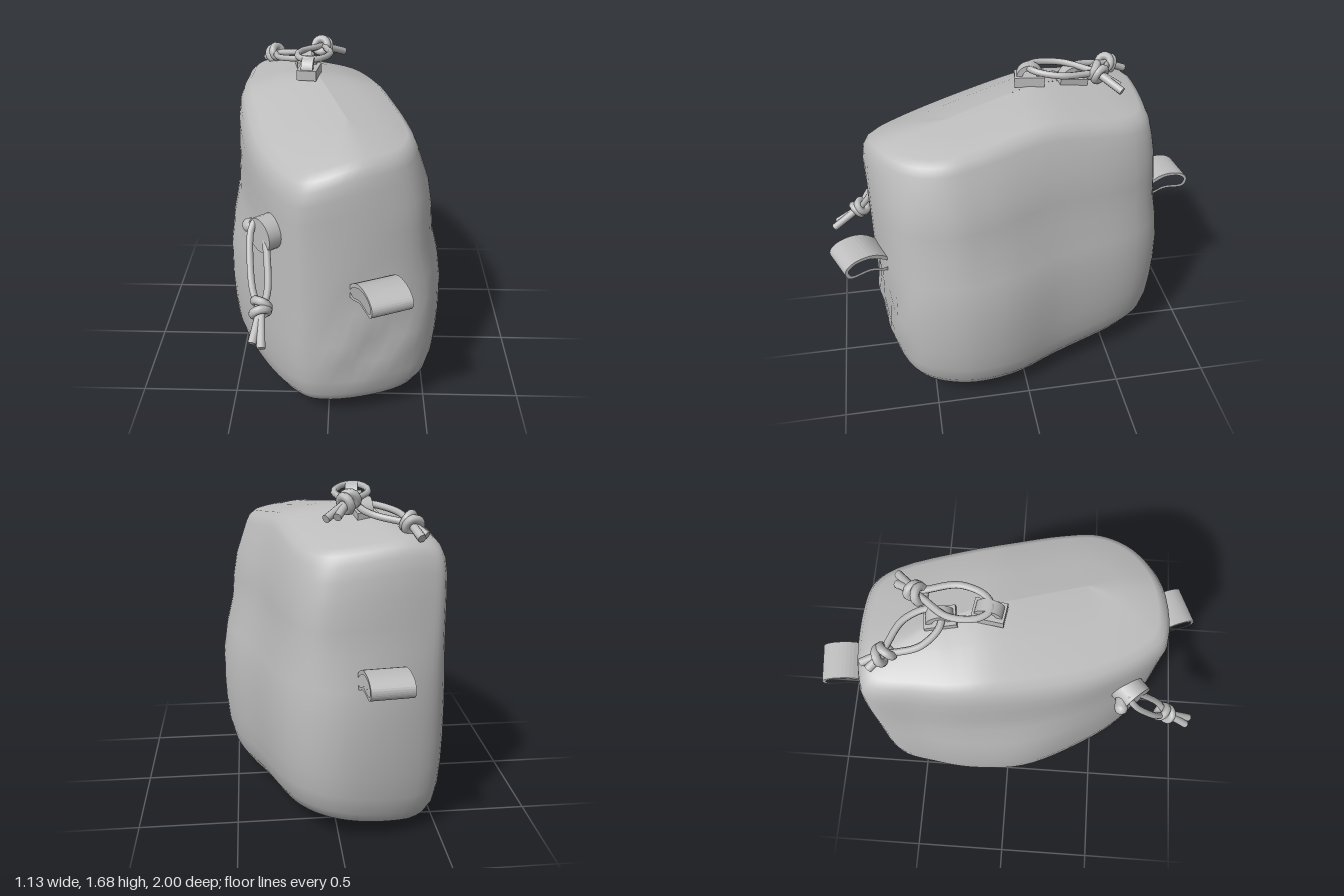
import * as THREE from 'three';

const fabric = new THREE.MeshStandardMaterial({ color: 0xbdbdbd });
fabric.name = 'grey fabric';
const V = (x, y, z) => new THREE.Vector3(x, y, z);
const mix = THREE.MathUtils.lerp;

function add(parent, name, geometry) {
  const mesh = new THREE.Mesh(geometry, fabric);
  mesh.name = name;
  parent.add(mesh);
  return mesh;
}

// Outlines [x, z] of the pouch at its belly, shoulder and crown
const BELLY = [[-.5, -.64], [-.38, -.73], [-.02, -.81], [.15, -.76], [.27, -.62], [.41, -.2], [.54, .13], [.56, .38],
  [.47, .6], [.18, .73], [-.1, .745], [-.22, .66], [-.4, .4], [-.54, .1], [-.57, -.2], [-.55, -.42]];
const SHOULDER = [[-.48, -.67], [-.38, -.71], [-.04, -.75], [.12, -.72], [.22, -.6], [.35, -.15], [.46, .17], [.49, .38],
  [.41, .6], [.17, .73], [-.1, .75], [-.2, .68], [-.36, .4], [-.46, .1], [-.51, -.2], [-.51, -.42]];
const CROWN = [[-.48, -.66], [-.38, -.7], [-.05, -.72], [.09, -.69], [.18, -.58], [.3, -.1], [.39, .2], [.42, .4],
  [.35, .58], [.16, .72], [-.1, .76], [-.2, .68], [-.36, .4], [-.45, .1], [-.5, -.2], [-.5, -.42]];
// Rows: nominal height, blend (0 belly, 1 shoulder, 2 crown), size about the spine
const ROWS = [[0, 0, 0], [.003, 0, .45], [.015, 0, .68], [.05, 0, .84], [.11, 0, .92], [.21, 0, .967], [.34, 0, .99],
  [.48, 0, 1], [.66, .05, 1], [.82, .35, 1], [.98, .85, 1], [1.12, 1, 1], [1.25, 1.3, 1], [1.36, 1.8, .997],
  [1.43, 2, .97], [1.47, 2, .915], [1.492, 2, .82], [1.5, 2, .4], [1.5, 2, 0]];

// Hipped top, sloping from a soft peak to both ends and from the ridge to both sides
const soft = (d) => Math.hypot(d, .07) - .07;
function topY(x, z) {
  const end = z + .13;
  const side = x + .13 - .33 * end;
  return 1.58 - .16 * soft(end) - (side > 0 ? .17 : .31) * soft(side);
}
// Underside, curling up towards the front, the left and the back left corner
const bottomY = (x, z) => .1 * (z + .2) ** 2 + .13 * (x + .1) ** 2 + .25 * Math.max(0, x + .35) * Math.max(0, -z);

function bodyGeometry() {
  const N = 80;
  const [belly, shoulder, crown] = [BELLY, SHOULDER, CROWN].map(
    (pts) => new THREE.CatmullRomCurve3(pts.map(([x, z]) => V(x, 0, z)), true));
  const spine = new THREE.Line3(V(-.16, 0, -.34), V(.08, 0, .34));
  const pos = [], index = [], near = V(0, 0, 0);
  ROWS.forEach(([h, blend, size], r) => {
    for (let i = 0; i < N; i++) {
      const p = belly.getPoint(i / N).lerp(shoulder.getPoint(i / N), Math.min(1, blend));
      p.lerp(crown.getPoint(i / N), Math.max(0, blend - 1));
      spine.closestPointToPoint(p, true, near);
      p.lerpVectors(near, p, size);
      p.y = mix(bottomY(p.x, p.z), topY(p.x, p.z), h / 1.5);
      // Soft diagonal folds below the front loop
      if (p.z > .5 && p.x > -.1) {
        const fade = Math.exp(-(((p.y - .55) / .2) ** 2)) * Math.min(1, (p.z - .5) * 5) * Math.min(1, (p.x + .1) * 5);
        p.z += .015 * fade * Math.sin(18 * (p.y - p.x));
      }
      pos.push(p.x, p.y, p.z);
      if (r < ROWS.length - 1) {
        const a = r * N + i, b = r * N + (i + 1) % N;
        index.push(a, a + N, b, b, a + N, b + N);
      }
    }
  });
  const g = new THREE.BufferGeometry();
  g.setAttribute('position', new THREE.Float32BufferAttribute(pos, 3));
  g.setIndex(index);
  g.computeVertexNormals();
  return g;
}

// Folded webbing loop: teardrop band, local x outward, y up, z across
function webbingLoop(parent, name, x, y, z, angle) {
  const outer = [[-.08, -.05], [0, .04], [.08, .085], [.17, .085], [.225, .055], [.23, .015], [.2, -.01], [.1, -.005], [.02, -.035]];
  const inner = [[-.02, -.012], [.01, .025], [.09, .068], [.165, .07], [.21, .048], [.213, .022], [.19, .006], [.1, .011], [.03, -.015]];
  const spline = (pts) => new THREE.SplineCurve([...pts, pts[0]].map(([u, v]) => new THREE.Vector2(u, v))).getPoints(40);
  const shape = new THREE.Shape(spline(outer));
  shape.holes.push(new THREE.Path(spline(inner)));
  const g = new THREE.ExtrudeGeometry(shape, { depth: .2, bevelEnabled: false }).translate(0, 0, -.1);
  const m = add(parent, name, g);
  m.position.set(x, y, z);
  m.rotation.y = angle;
}

// Knotted cord: loop from the slider to a knot, then two loose tails
function cordPull(parent, name, start, knot, end, side, width) {
  const group = new THREE.Group();
  group.name = name;
  parent.add(group);
  const at = (a, b, t, s) => a.clone().lerp(b, t).addScaledVector(side, s);
  const path = new THREE.CatmullRomCurve3([
    start, at(start, knot, .12, width * .7), at(start, knot, .5, width), at(start, knot, .85, .03), knot,
    at(start, knot, .85, -.03), at(start, knot, .5, -width), at(start, knot, .12, -width * .7)], true);
  add(group, 'cordLoop', new THREE.TubeGeometry(path, 48, .017, 8, true));
  const dir = end.clone().sub(knot).normalize();
  for (const s of [-1, 1]) {
    const tail = add(group, 'cordTail', new THREE.CylinderGeometry(.02, .02, 1, 10));
    const tip = at(knot, end, s > 0 ? 1 : .9, s * .022);
    tail.scale.y = tip.distanceTo(knot);
    tail.position.copy(knot).lerp(tip, .5);
    tail.quaternion.setFromUnitVectors(V(0, 1, 0), tip.clone().sub(knot).normalize());
    const wrap = add(group, 'knotWrap', new THREE.TorusGeometry(.035, .021, 8, 18));
    wrap.position.copy(knot).addScaledVector(dir, s * .02);
    wrap.quaternion.setFromUnitVectors(V(0, 0, 1), dir.clone().addScaledVector(side, s * .35).normalize());
  }
}

// Slider: base plate with a raised bridge, local z along the zip, y away from the pouch
function zipSlider(parent, name, position, away, along) {
  const group = new THREE.Group();
  group.name = name;
  parent.add(group);
  const y = away.clone().normalize();
  const x = V(0, 0, 0).crossVectors(y, along).normalize();
  group.quaternion.setFromRotationMatrix(new THREE.Matrix4().makeBasis(x, y, x.clone().cross(y)));
  group.position.copy(position);
  add(group, 'sliderPlate', new THREE.BoxGeometry(.1, .05, .15));
  const arch = new THREE.Shape().absarc(0, 0, .065, 0, Math.PI, false);
  arch.holes.push(new THREE.Path().absarc(0, .005, .035, 0, Math.PI, false));
  const bridge = add(group, 'sliderBridge', new THREE.ExtrudeGeometry(arch, { depth: .06, bevelEnabled: false, curveSegments: 14 }));
  bridge.geometry.translate(0, 0, -.03).rotateY(Math.PI / 2);
  bridge.position.y = .015;
}

export function createModel() {
  const model = new THREE.Group();
  model.name = 'pouch';
  add(model, 'pouchBody', bodyGeometry());

  // Carry loops on the front and back
  webbingLoop(model, 'frontLoop', .2, .84, .72, -1.17);
  webbingLoop(model, 'backLoop', -.17, .88, -.765, 1.67);

  // Side zip pull: round slider housing with a hanging cord
  const housing = add(model, 'sideSlider', new THREE.CylinderGeometry(.085, .085, .13, 20));
  housing.quaternion.setFromUnitVectors(V(0, 1, 0), V(-.75, 0, .66).normalize());
  housing.position.set(-.27, 1.06, .6);
  const bar = add(model, 'sideSliderBar', new THREE.CapsuleGeometry(.035, .1, 4, 10));
  bar.quaternion.setFromUnitVectors(V(0, 1, 0), V(-.75, 0, -.1).normalize());
  bar.position.set(-.32, 1.07, .57);
  cordPull(model, 'sidePull', V(-.33, 1.12, .6), V(-.3, .79, .83), V(-.31, .68, .98), V(1, 0, .1).normalize(), .04);

  // Two zip pulls on top
  zipSlider(model, 'topSliderFront', V(-.12, 1.595, -.1), V(0, 1, 0), V(-.15, 0, 1));
  zipSlider(model, 'topSliderBack', V(-.15, 1.555, -.32), V(0, 1, -.15), V(.15, 0, 1));
  cordPull(model, 'topPullFront', V(-.13, 1.66, -.09), V(-.06, 1.63, -.43), V(.03, 1.57, -.54), V(1, 0, .25).normalize(), .08);
  cordPull(model, 'topPullBack', V(-.14, 1.6, -.32), V(-.33, 1.55, -.56), V(-.38, 1.5, -.65), V(.78, 0, -.62).normalize(), .075);
  return model;
}
